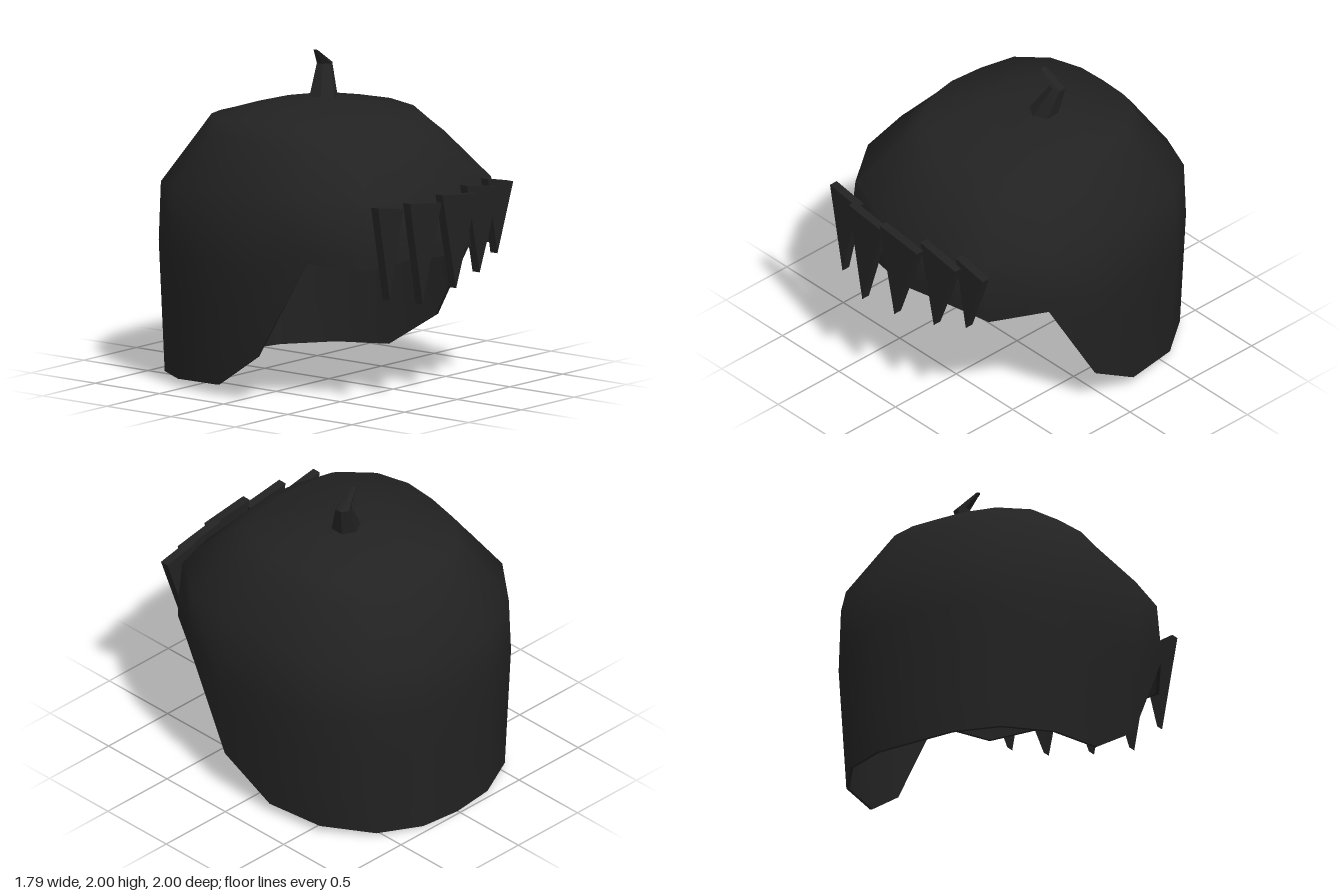
import * as THREE from 'three';
import { toCreasedNormals } from 'three/addons/utils/BufferGeometryUtils.js';

// Outline of the cap from front centre to back centre: [x, z, height of lower rim]
const HALF = [
  [0, 0.94, 0.88], [0.3, 0.9, 0.9], [0.61, 0.8, 0.86], [0.82, 0.5, 0.9], [0.895, 0.15, 0.29],
  [0.87, -0.2, 0.07], [0.8, -0.57, 0.05], [0.58, -0.85, 0.03], [0.29, -0.98, 0.015], [0, -1, 0.005],
];
const OUTLINE = [...HALF, ...HALF.slice(1, -1).reverse().map(([x, z, y]) => [-x, z, y])];

// Dome rings: [scale, y, z shift, rise at the sides, fall at the back]
const DOME = [
  [0, 1.72, -0.12, 0, 0], [0.3, 1.675, -0.11, 0.015, 0], [0.63, 1.59, -0.08, 0.055, 0],
  [0.72, 1.525, -0.04, 0.015, 0], [0.98, 1.23, -0.01, 0.05, 0.06],
];

// Surface through rings of equal length, listed from top to bottom
function loft(rings, crease) {
  const n = rings[0].length, pos = rings.flat(2), kept = [];
  const P = (i) => new THREE.Vector3().fromArray(pos, i * 3);
  // skip triangles that collapse at the poles
  const face = (a, b, c) => {
    if (P(b).sub(P(a)).cross(P(c).sub(P(a))).length() > 1e-7) kept.push(a, b, c);
  };
  for (let i = 0; i < rings.length - 1; i++) {
    for (let j = 0; j < n; j++) {
      const k = (j + 1) % n;
      const a = i * n + j, c = (i + 1) * n + k;
      face(a, a + n, c);
      face(a, c, i * n + k);
    }
  }
  const g = new THREE.BufferGeometry();
  g.setAttribute('position', new THREE.Float32BufferAttribute(pos, 3));
  g.setIndex(kept);
  return toCreasedNormals(g, crease);
}

// One wall of the cap, pulled in by inset
function wall(inset) {
  const f = 1 - inset;
  const rings = DOME.map(([s, y, dz, side, back]) => OUTLINE.map(([x, z]) => [
    x * s * f,
    y - inset + side * (x / 0.9) ** 2 - back * Math.max(0, -z),
    z * s * f + dz,
  ]));
  for (const t of [0, 0.33, 0.67, 1]) {
    rings.push(OUTLINE.map(([x, z, rim]) => {
      const y = THREE.MathUtils.lerp(Math.max(0.84, rim + 0.1), rim, t);
      const drop = Math.max(0, 0.84 - y) / 0.84;
      return [x * f * (1 - 0.065 * drop), y, z * f * (1 - 0.02 * drop)];
    }));
  }
  return rings;
}

export function createModel() {
  const group = new THREE.Group();
  const hair = new THREE.MeshStandardMaterial({ color: 0x222222 });
  hair.name = 'darkHair';
  const add = (name, geometry) => {
    const mesh = new THREE.Mesh(geometry, hair);
    mesh.name = name;
    group.add(mesh);
  };

  // Hollow cap: outer wall down to the rim, then a close inner wall back up
  add('hairCap', loft([...wall(0), ...wall(0.02).reverse()], 0.9));

  // Pointed fringe locks: left, right and tip corners, then back z
  const locks = [
    [-0.66, 1.27, -0.42, 1.23, -0.55, 0.69, 0.87],
    [-0.43, 1.27, -0.13, 1.23, -0.31, 0.635, 0.93],
    [-0.14, 1.28, 0.19, 1.24, -0.01, 0.69, 0.945],
    [0.16, 1.285, 0.47, 1.23, 0.28, 0.735, 0.89],
    [0.42, 1.28, 0.66, 1.23, 0.51, 0.81, 0.84],
  ];
  locks.forEach(([x1, y1, x2, y2, x3, y3, z], i) => {
    const shape = new THREE.Shape([[x1, y1], [x3, y3], [x2, y2]].map((p) => new THREE.Vector2(...p)));
    const g = new THREE.ExtrudeGeometry(shape, { depth: 0.055, bevelEnabled: false });
    add('fringeLock' + (i + 1), g.translate(0, 0, z));
  });

  // Bent tuft on the crown: rings of [x, y, z, radius x, radius z]
  const tuft = [
    [0.06, 2.0, -0.155, 0, 0], [0.065, 1.995, -0.155, 0.008, 0.018],
    [0.172, 1.9, -0.175, 0.052, 0.046], [0.1, 1.71, -0.125, 0.093, 0.088], [0.1, 1.71, -0.125, 0, 0],
  ].map(([x, y, z, rx, rz]) => Array.from({ length: 6 }, (_, j) => {
    const a = (j / 6) * Math.PI * 2;
    return [x + Math.sin(a) * rx, y, z + Math.cos(a) * rz];
  }));
  add('crownTuft', loft(tuft, 0.6));

  return group;
}
